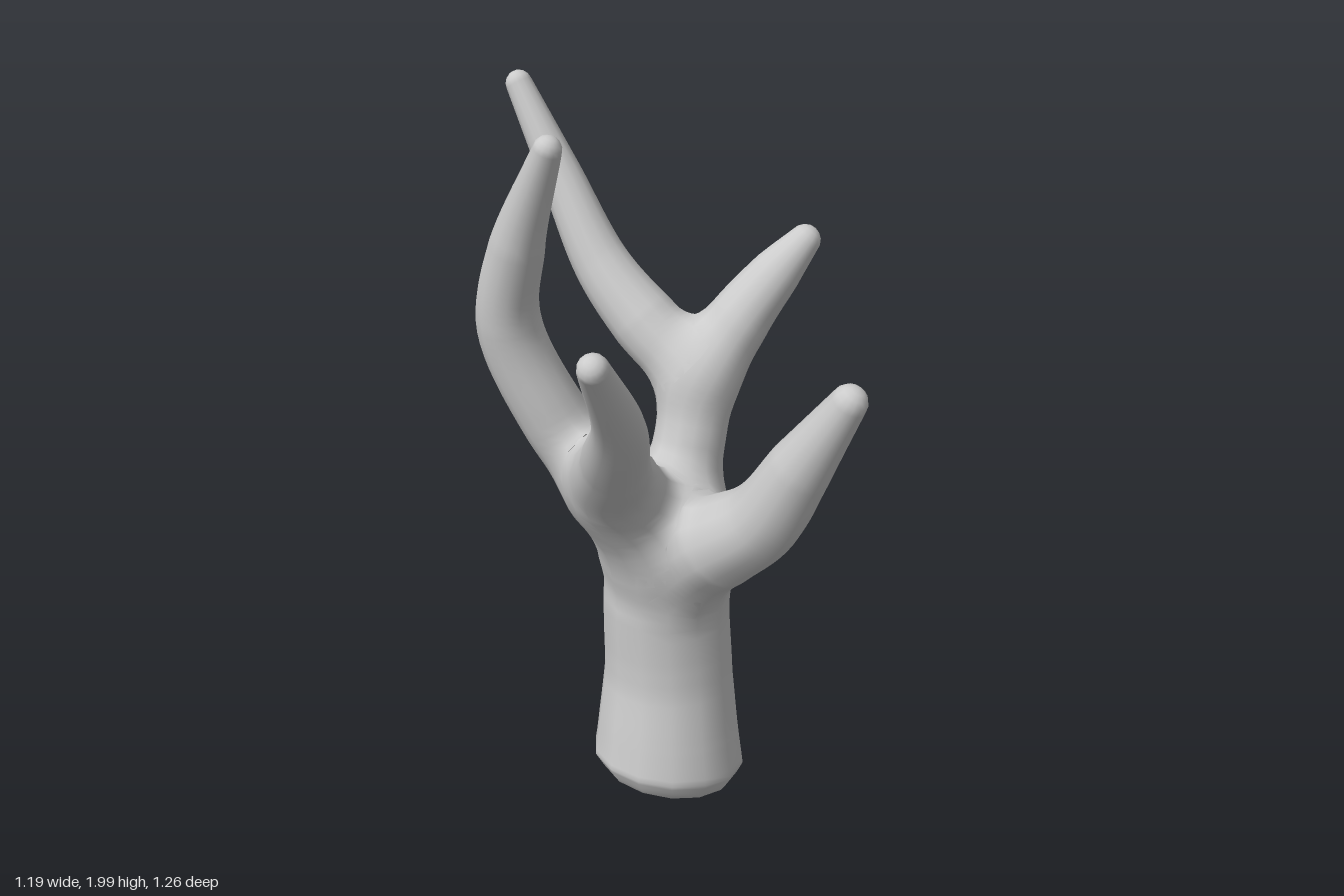
import * as THREE from 'three';

const SIDES = 14;

// Each limb is a path of [x, y, z, radius] stations
const limbs = {
  trunk: [[0.165, 0.03, 0.03, 0.12], [0.165, 0.055, 0.03, 0.185], [0.165, 0.115, 0.03, 0.218], [0.168, 0.22, 0.025, 0.204],
    [0.178, 0.4, 0.015, 0.184], [0.175, 0.62, 0.005, 0.178], [0.168, 0.82, 0.01, 0.162]],
  frontBranch: [[0.16, 0.76, 0.06, 0.13], [0.13, 0.89, 0.2, 0.127], [0.11, 1.02, 0.35, 0.103],
    [0.1, 1.2, 0.455, 0.083], [0.1, 1.415, 0.58, 0.046]],
  rightLongBranch: [[0.11, 0.85, 0, 0.14], [-0.05, 1.07, 0, 0.118], [-0.21, 1.24, 0.125, 0.087],
    [-0.37, 1.44, 0.26, 0.062], [-0.56, 1.67, 0.34, 0.036]],
  rightBackBranch: [[-0.01, 1.06, -0.08, 0.1], [-0.08, 1.24, -0.18, 0.09], [-0.14, 1.48, -0.26, 0.083],
    [-0.165, 1.7, -0.205, 0.07], [-0.18, 1.965, -0.09, 0.035]],
  leftFrontBranch: [[0.22, 0.82, 0, 0.13], [0.275, 1.05, 0, 0.098], [0.335, 1.22, 0, 0.096],
    [0.42, 1.38, 0.05, 0.086], [0.49, 1.5, 0.11, 0.069], [0.55, 1.595, 0.165, 0.043]],
  leftBackBranch: [[0.33, 1.25, -0.03, 0.095], [0.305, 1.365, -0.17, 0.093], [0.288, 1.5, -0.3, 0.077],
    [0.3, 1.72, -0.45, 0.057], [0.31, 1.935, -0.595, 0.036]],
};

// Centre, tangent and radius at evenly spaced steps along a limb
function sample(stations, steps) {
  const curve = new THREE.CatmullRomCurve3(stations.map(([x, y, z]) => new THREE.Vector3(x, y, z)));
  return Array.from({ length: steps + 1 }, (_, i) => {
    const t = i / steps, f = t * (stations.length - 1);
    const k = Math.min(Math.floor(f), stations.length - 2);
    const r = THREE.MathUtils.lerp(stations[k][3], stations[k + 1][3], f - k);
    return { c: curve.getPoint(t), t: curve.getTangent(t), r };
  });
}

// Distance to the whole plant, with soft joins between limbs
function makeField(sampled) {
  const BLEND = 0.08;
  const chains = sampled.map(s => s.filter(({ c }) => c.y > 0.25));
  return p => {
    let d = 10;
    for (const chain of chains) {
      let e = 10;
      for (const { c, r } of chain) e = Math.min(e, p.distanceTo(c) - r);
      const h = Math.max(BLEND - Math.abs(d - e), 0) / BLEND;
      d = Math.min(d, e) - h * h * BLEND / 4;
    }
    return d;
  };
}

function gradient(field, p) {
  const e = 0.012, g = new THREE.Vector3(), q = new THREE.Vector3();
  for (let a = 0; a < 3; a++) {
    const hi = field(q.copy(p).setComponent(a, p.getComponent(a) + e));
    const lo = field(q.copy(p).setComponent(a, p.getComponent(a) - e));
    g.setComponent(a, hi - lo);
  }
  return g.normalize();
}

function limbGeometry(path, field) {
  // Rings along the path, then a rounded tip
  const rings = path.slice();
  const end = path[path.length - 1];
  for (const a of [0.4, 0.8, 1.2]) {
    rings.push({ c: end.c.clone().addScaledVector(end.t, end.r * Math.sin(a)), t: end.t, r: end.r * Math.cos(a) });
  }
  const points = [], index = [];
  for (const { c, t, r } of rings) {
    const u = new THREE.Vector3(1, 0, 0).cross(t).normalize();
    const v = t.clone().cross(u);
    for (let j = 0; j < SIDES; j++) {
      const a = j / SIDES * Math.PI * 2;
      points.push(c.clone().addScaledVector(u, r * Math.cos(a)).addScaledVector(v, r * Math.sin(a)));
    }
  }
  for (let i = 0; i < rings.length - 1; i++) {
    for (let j = 0; j < SIDES; j++) {
      const a = i * SIDES + j, b = i * SIDES + (j + 1) % SIDES;
      index.push(a, b, a + SIDES, b, b + SIDES, a + SIDES);
    }
  }
  // Close both ends
  const first = points.length, last = (rings.length - 1) * SIDES;
  points.push(path[0].c.clone(), end.c.clone().addScaledVector(end.t, end.r));
  for (let j = 0; j < SIDES; j++) {
    const k = (j + 1) % SIDES;
    index.push(first, k, j, first + 1, last + j, last + k);
  }
  // Swell the skin into the soft joins; slant the foot of the trunk
  const smooth = new Map();
  points.forEach((p, i) => {
    if (p.y < 0.5) {
      p.y -= 0.22 * (p.x - 0.165) * Math.max(0, 1 - p.y / 0.4);
    } else if (field(p) > -0.045) {
      for (let n = 0; n < 3; n++) p.addScaledVector(gradient(field, p), -field(p));
      smooth.set(i, gradient(field, p));
    }
  });
  const geometry = new THREE.BufferGeometry().setFromPoints(points);
  geometry.setIndex(index);
  geometry.computeVertexNormals();
  for (const [i, n] of smooth) geometry.attributes.normal.setXYZ(i, n.x, n.y, n.z);
  return geometry;
}

export function createModel() {
  const group = new THREE.Group();
  group.name = 'branchingStump';
  const material = new THREE.MeshStandardMaterial({ color: 0xcccccc });
  const names = Object.keys(limbs);
  const sampled = names.map(name => sample(limbs[name], 36));
  const field = makeField(sampled);
  names.forEach((name, i) => {
    const mesh = new THREE.Mesh(limbGeometry(sampled[i], field), material);
    mesh.name = name;
    group.add(mesh);
  });
  return group;
}
